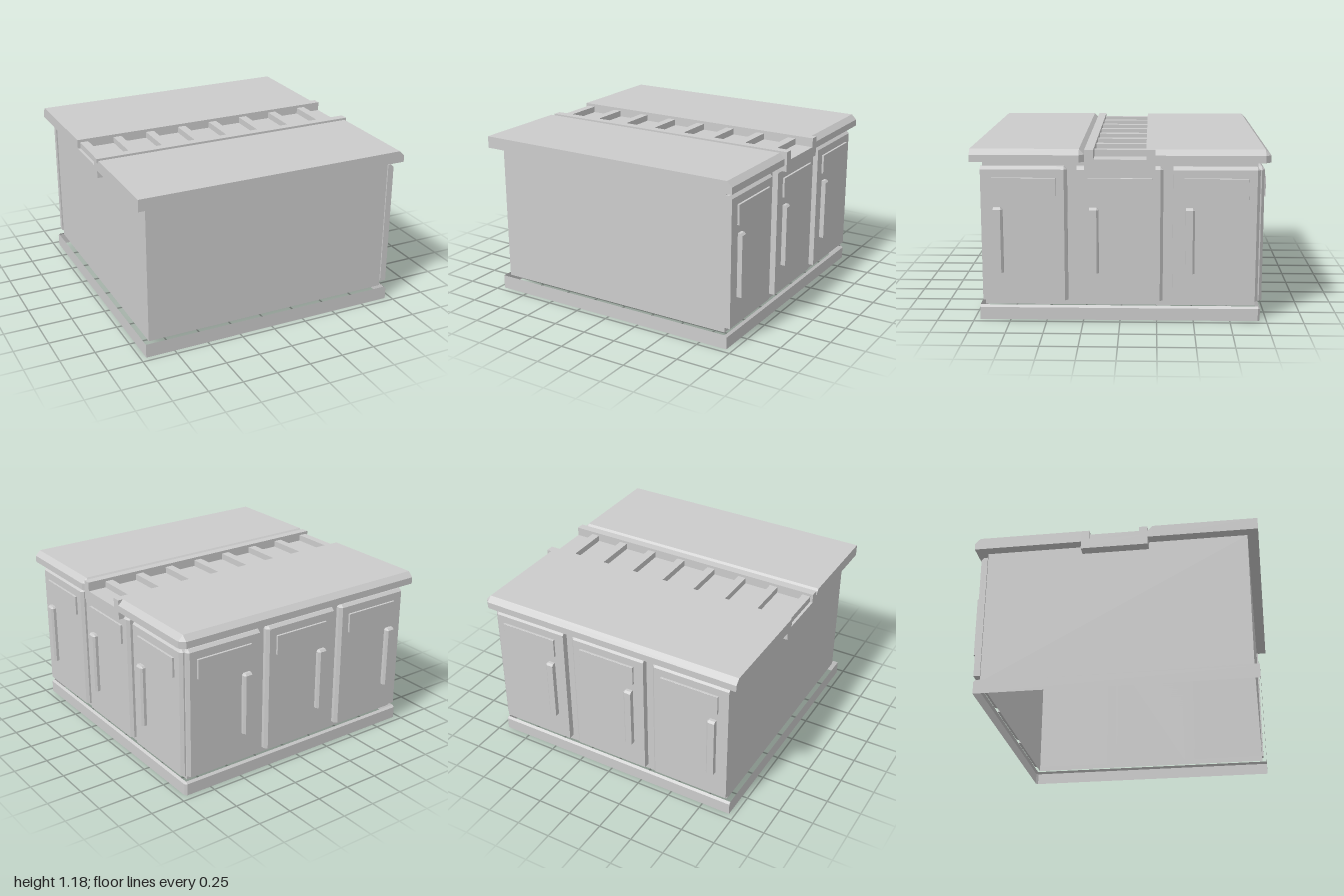
import * as THREE from 'three';
import { ConvexGeometry } from 'three/addons/geometries/ConvexGeometry.js';

export function createModel() {
  const model = new THREE.Group();
  const grey = new THREE.MeshStandardMaterial({ color: 0xcccccc });
  grey.name = 'plainGrey';
  grey.side = THREE.DoubleSide;

  const add = (name, geometry, parent = model) => {
    const mesh = new THREE.Mesh(geometry, grey);
    mesh.name = name;
    parent.add(mesh);
    return mesh;
  };

  // Plain box between two corners
  const box = (x0, x1, y0, y1, z0, z1) =>
    new THREE.BoxGeometry(x1 - x0, y1 - y0, z1 - z0)
      .translate((x0 + x1) / 2, (y0 + y1) / 2, (z0 + z1) / 2);

  // Box with its +x, +y and -z faces chamfered where they meet;
  // map moves each corner, so blocks can be mirrored to the back
  const same = (x, y, z) => new THREE.Vector3(x, y, z);
  const toBack = (x, y, z) => new THREE.Vector3(-z, y, -x);
  const chamferBlock = (x0, x1, y0, y1, z0, z1, c, map = same) => {
    const points = [];
    for (const [cx, cy, cz] of [[0, c, c], [c, 0, c], [c, c, 0]])
      for (const x of [x0, x1 - cx])
        for (const y of [y0, y1 - cy])
          for (const z of [z0 + cz, z1]) points.push(map(x, y, z));
    return new ConvexGeometry(points);
  };

  // Shell lofted through rings of [x, y, z] points with equal counts
  const loft = (rings) => {
    const position = [];
    for (let r = 0; r + 1 < rings.length; r++) {
      const low = rings[r], high = rings[r + 1], n = low.length;
      for (let i = 0; i < n; i++) {
        const j = (i + 1) % n;
        position.push(...low[i], ...low[j], ...high[j], ...low[i], ...high[j], ...high[i]);
      }
    }
    const geometry = new THREE.BufferGeometry();
    geometry.setAttribute('position', new THREE.Float32BufferAttribute(position, 3));
    geometry.computeVertexNormals();
    return geometry;
  };

  // Cabinet body, a hollow shell open at the bottom
  const bodyRing = (y) => [[-0.925, y, 0.925], [0.92, y, 0.925], [0.92, y, -0.92], [-0.925, y, -0.92]];
  add('cabinetWalls', loft([bodyRing(0.1), bodyRing(1.1)]));
  add('cabinetTop', new THREE.PlaneGeometry(1.845, 1.845)
    .rotateX(-Math.PI / 2).translate(-0.0025, 1.1, 0.0025));

  // Plinth, a thin skirting set out from the walls, chamfered on two sides
  const c = 0.015;
  const plinthRing = (y, e) => [[-0.96, y, 0.96], [e, y, 0.96], [e, y, -0.955 + c],
    [0.955 - c, y, -e], [-0.96, y, -e]];
  add('plinth', loft([plinthRing(0, 0.955), plinthRing(0.085, 0.955), plinthRing(0.1, 0.955 - c)]));

  // Countertop slabs
  add('frontCountertop', chamferBlock(-1, 1, 1.1, 1.185, 0.235, 1, 0.037));
  add('backCountertop', chamferBlock(-1, 1, 1.1, 1.185, -1, -0.235, 0.037));

  // Slatted channel between the slabs
  const channel = new THREE.Group();
  channel.name = 'channel';
  model.add(channel);
  add('channelFloor', box(-1, 1, 1.045, 1.12, -0.235, 0.235), channel);
  for (const z of [-0.235, 0.175])
    add('channelRail', box(-1, 1, 1.12, 1.185, z, z + 0.06), channel);
  for (let i = 0; i < 8; i++) {
    const x = -0.98 + i * 0.255;
    add('slat', box(x, x + 0.06, 1.12, 1.165, -0.175, 0.175), channel);
  }

  // Three doors on the right side, mirrored over the diagonal to the back
  for (const [side, map] of [['right', same], ['back', toBack]])
    for (let i = 0; i < 3; i++) {
      const z = 0.935 - i * 0.645;
      const door = new THREE.Group();
      door.name = side + 'Door';
      model.add(door);
      add('doorPanel', chamferBlock(0.92, 0.965, 0.14, 1.065, z - 0.58, z, 0.02, map), door);
      add('doorPlate', chamferBlock(0.96, 0.98, 0.85, 0.99, z - 0.505, z - 0.075, 0.001, map), door);
      add('doorHandle', chamferBlock(0.96, 1, 0.34, 0.79, z - 0.147, z - 0.085, 0.014, map), door);
    }

  return model;
}
